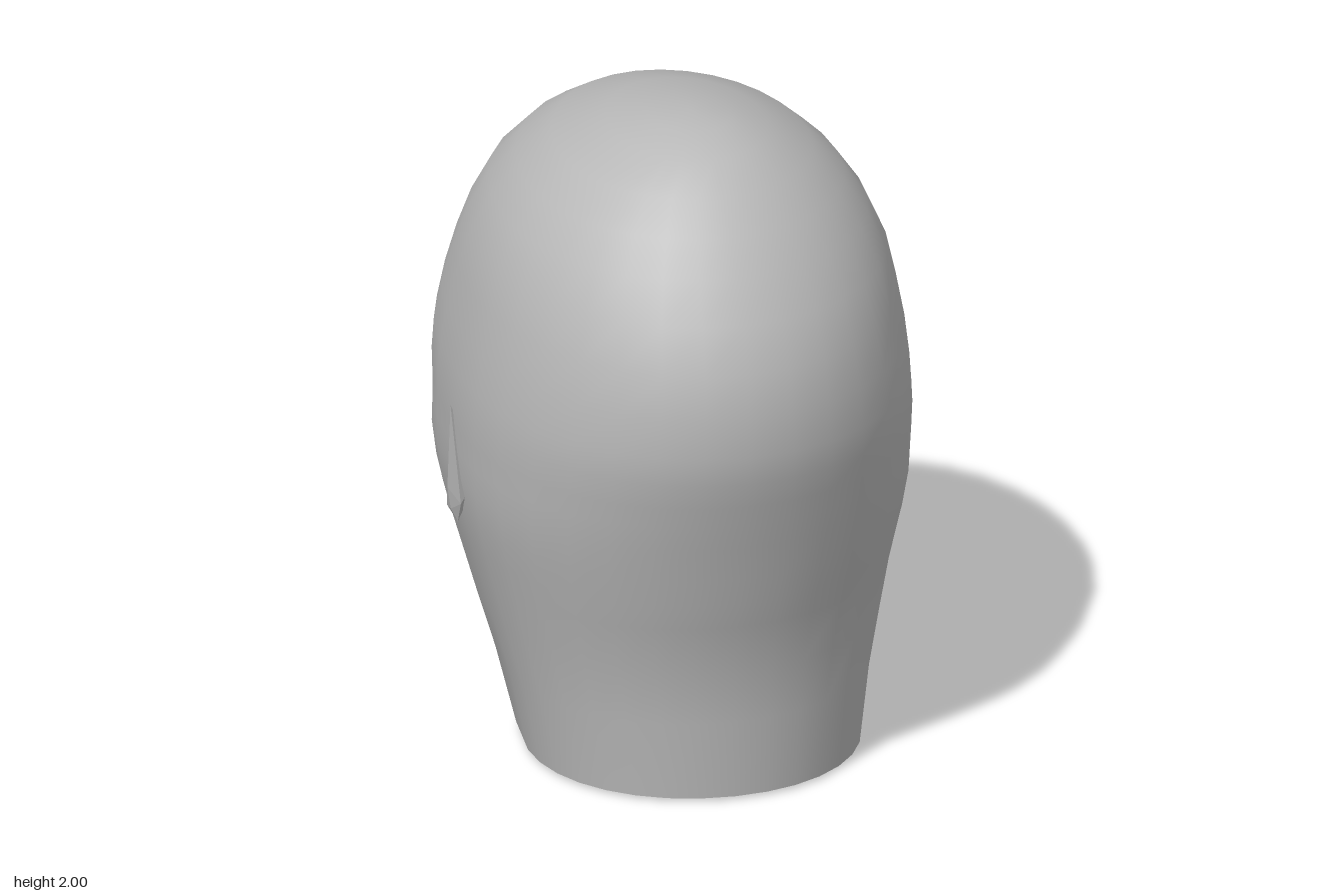
import * as THREE from 'three';
import { toCreasedNormals } from 'three/addons/utils/BufferGeometryUtils.js';
import { ConvexGeometry } from 'three/addons/geometries/ConvexGeometry.js';

const SEG = 32;

// Horizontal sections: y, half width, back z, front z, widest z, front squareness
const SECTIONS = [
  [0.00, 0.00, 0.10, 0.10, 0.10, 2],
  [0.00, 0.35, 0.55, -0.52, 0.22, 2],
  [0.01, 0.49, 0.71, -0.73, 0.22, 1.9],
  [0.25, 0.53, 0.73, -0.765, 0.2, 2.1],
  [0.42, 0.57, 0.75, -0.80, 0.18, 2.25],
  [0.58, 0.605, 0.80, -0.84, 0.16, 2.4],
  [0.66, 0.625, 0.825, -0.80, 0.15, 2.55],
  [0.75, 0.645, 0.85, -0.755, 0.15, 2.7],
  [0.86, 0.662, 0.883, -0.72, 0.15, 2.75],
  [0.94, 0.664, 0.907, -0.69, 0.15, 2.75],
  [1.01, 0.666, 0.927, -0.725, 0.15, 2.6],
  [1.09, 0.667, 0.95, -0.82, 0.15, 2.4],
  [1.18, 0.66, 0.964, -0.82, 0.15, 2.4],
  [1.30, 0.645, 0.96, -0.795, 0.15, 2.3],
  [1.43, 0.62, 0.94, -0.75, 0.15, 2.2],
  [1.56, 0.59, 0.88, -0.685, 0.16, 2.1],
  [1.68, 0.535, 0.81, -0.60, 0.17, 2.1],
  [1.78, 0.465, 0.735, -0.495, 0.18, 2],
  [1.87, 0.37, 0.65, -0.33, 0.2, 2],
  [1.95, 0.23, 0.55, -0.08, 0.25, 2],
  [1.985, 0.12, 0.42, 0.12, 0.28, 2],
  [2.00, 0.00, 0.28, 0.28, 0.28, 2],
];

function sectionPoint([y, w, back, front, mid, n], ring, a) {
  const c = Math.cos(a), s = Math.sin(a);
  const e = 2 / (s < 0 ? n : 2.05);
  // the neck leans slightly to one side
  const x = w * Math.sign(c) * Math.abs(c) ** e + 0.02 * Math.max(0, 1 - y / 0.6);
  let z = mid + (s < 0 ? front - mid : back - mid) * Math.abs(s) ** e;
  // underside climbs from the neck towards the jaw edge and chin
  if (ring < 2) y += 0.11 * Math.max(0, 0.2 - z);
  if (ring === 2) y += 0.13 * THREE.MathUtils.smoothstep(0.12 - z, 0, 0.3);
  // eye sockets
  if (s < 0) {
    const d = ((Math.abs(x) - 0.25) / 0.15) ** 2 + ((y - 0.985) / 0.08) ** 2;
    z += 0.06 * Math.exp(-d);
  }
  return [x, y, z];
}

function headGeometry() {
  const pos = [], index = [], last = SECTIONS.length - 1;
  SECTIONS.forEach((section, i) => {
    for (let j = 0; j < SEG; j++) {
      pos.push(...sectionPoint(section, i, (j / SEG) * Math.PI * 2));
      if (i === last) continue;
      const a = i * SEG + j, b = i * SEG + (j + 1) % SEG;
      if (i > 0) index.push(a, a + SEG, b);
      if (i < last - 1) index.push(b, a + SEG, b + SEG);
    }
  });
  const g = new THREE.BufferGeometry();
  g.setAttribute('position', new THREE.Float32BufferAttribute(pos, 3));
  g.setIndex(index);
  return toCreasedNormals(g, 0.75);
}

const hull = (points) => new ConvexGeometry(points.map((p) => new THREE.Vector3(...p)));

export function createModel() {
  const group = new THREE.Group();
  const grey = new THREE.MeshStandardMaterial({ color: 0xb8b8b8 });
  grey.name = 'plain grey';
  const add = (name, geometry) => {
    const mesh = new THREE.Mesh(geometry, grey);
    mesh.name = name;
    group.add(mesh);
  };

  add('head', headGeometry());

  // wedge nose: narrow bridge, wide wings, blunt tip
  const nose = [[0, 1.0, -0.795], [0, 0.74, -0.96], [0, 0.655, -0.93], [0, 0.585, -0.85]];
  for (const s of [-1, 1]) {
    nose.push([s * 0.04, 1.03, -0.76], [s * 0.09, 0.95, -0.64], [s * 0.05, 0.7, -0.94],
      [s * 0.145, 0.7, -0.85], [s * 0.08, 0.63, -0.86], [s * 0.14, 0.74, -0.72]);
  }
  add('nose', hull(nose));

  // pointed ears lying close to the head, the right one lower
  for (const [name, s, drop] of [['leftEar', 1, 0], ['rightEar', -1, 0.05]]) {
    add(name, hull([
      [0.672, 1.12, 0.105], [0.669, 0.85, 0.21], [0.662, 0.77, 0.15], [0.66, 0.77, 0.02],
      [0.68, 0.86, 0.1], [0.675, 0.8, 0.12], [0.58, 0.9, 0.1],
    ].map(([x, y, z]) => [x * s, y - drop, z])));
  }

  // thin ridge over the right brow
  add('browRidge', hull([
    [-0.46, 1.27, -0.635], [-0.31, 1.31, -0.73], [-0.5, 1.25, -0.52],
    [-0.4, 1.31, -0.63], [-0.38, 1.24, -0.6],
  ]));
  return group;
}
